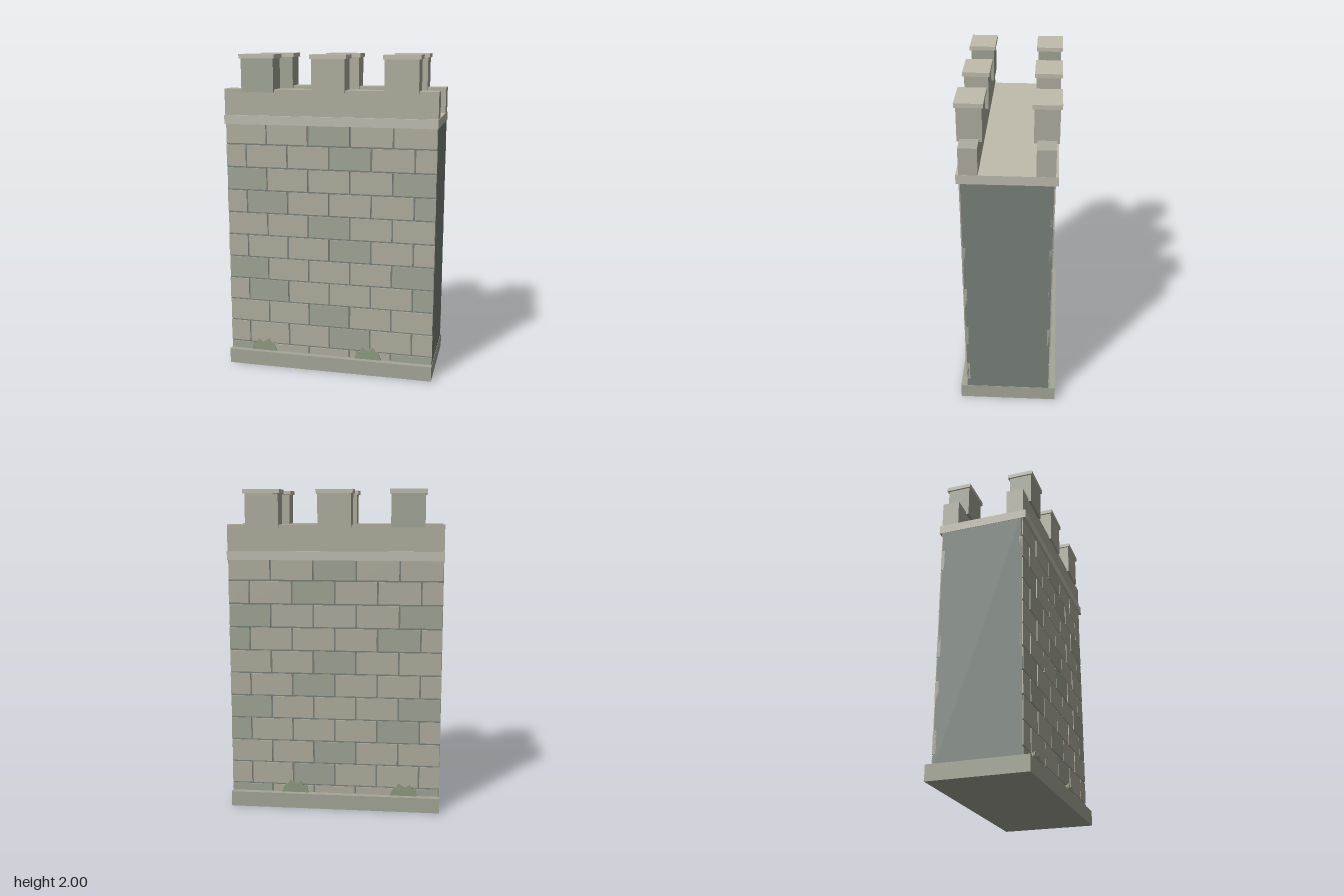
import * as THREE from 'three';

const mat = (color) => new THREE.MeshStandardMaterial({ color });
const stone = mat(0xb0ae9e);
const stoneDark = mat(0xa1a696);
const mortar = mat(0x79817a);
const trim = mat(0xc0bdae);
const footing = mat(0xa4a797);
const moss = mat(0x8f9a80);

const HALF = 0.66; // half length of the wall

// Box given by its minimum and maximum on each axis
function block(name, material, [x0, x1], [y0, y1], [z0, z1]) {
  const mesh = new THREE.Mesh(new THREE.BoxGeometry(x1 - x0, y1 - y0, z1 - z0), material);
  mesh.position.set((x0 + x1) / 2, (y0 + y1) / 2, (z0 + z1) / 2);
  mesh.name = name;
  return mesh;
}

// Range along z, mirrored to the chosen face of the wall
const zRange = (side, near, far) => (side > 0 ? [near, far] : [-far, -near]);

// Running-bond masonry on one face
function stoneCourses(side) {
  const group = new THREE.Group();
  group.name = 'stoneCourses';
  const rowH = 0.145, stoneW = 0.265, gap = 0.005;
  for (let row = 0; row < 11; row++) {
    const odd = row % 2;
    const start = -2.5 * stoneW - odd * stoneW / 2;
    for (let col = 0; col < 5 + odd; col++) {
      const x0 = Math.max(start + col * stoneW + gap, -HALF);
      const x1 = Math.min(start + (col + 1) * stoneW - gap, HALF);
      const bulge = 0.262 + 0.001 * ((row * 3 + col * 5) % 3);
      group.add(block('wallStone', (row + col) % 4 === 0 ? stoneDark : stone,
        [x0, x1],
        [row * rowH + gap, Math.min((row + 1) * rowH - gap, 1.59)],
        zRange(side, 0.24, bulge)));
    }
  }
  return group;
}

// Thin jagged tuft growing at the foot of the wall
function mossTuft(x, side) {
  const outline = [[-0.09, 0], [-0.08, 0.055], [-0.065, 0.04], [-0.045, 0.075], [-0.015, 0.055],
    [0.025, 0.08], [0.04, 0.055], [0.06, 0.045], [0.08, 0]];
  const shape = new THREE.Shape(outline.map(([px, py]) => new THREE.Vector2(px, py)));
  const mesh = new THREE.Mesh(
    new THREE.ExtrudeGeometry(shape, { depth: 0.014, bevelEnabled: false }), moss);
  mesh.position.set(x, 0.095, side > 0 ? 0.255 : -0.269);
  mesh.name = 'mossTuft';
  return mesh;
}

export function createModel() {
  const wall = new THREE.Group();
  wall.name = 'castleWall';

  // Body, footing and walkway slab
  wall.add(
    block('wallCore', mortar, [-HALF, HALF], [0.05, 1.6], [-0.256, 0.256]),
    block('footing', footing, [-0.662, 0.662], [0, 0.095], [-0.3, 0.3]),
    block('walkwaySlab', trim, [-0.662, 0.662], [1.575, 1.63], [-0.28, 0.28]),
  );

  for (const side of [1, -1]) {
    wall.add(stoneCourses(side));
    wall.add(block('parapet', stone, [-0.661, 0.661], [1.625, 1.79], zRange(side, 0.158, 0.264)));

    // Merlons with overhanging caps
    [-0.443, 0, 0.443].forEach((x, i) => {
      wall.add(
        block('merlon', i === 0 ? stoneDark : stone, [x - 0.102, x + 0.102], [1.773, 1.98], zRange(side, 0.14, 0.28)),
        block('merlonCap', trim, [x - 0.112, x + 0.112], [1.975, 2], zRange(side, 0.13, 0.29)),
      );
    });

    for (const x of [-0.43, 0.26]) wall.add(mossTuft(x, side));
  }
  return wall;
}
